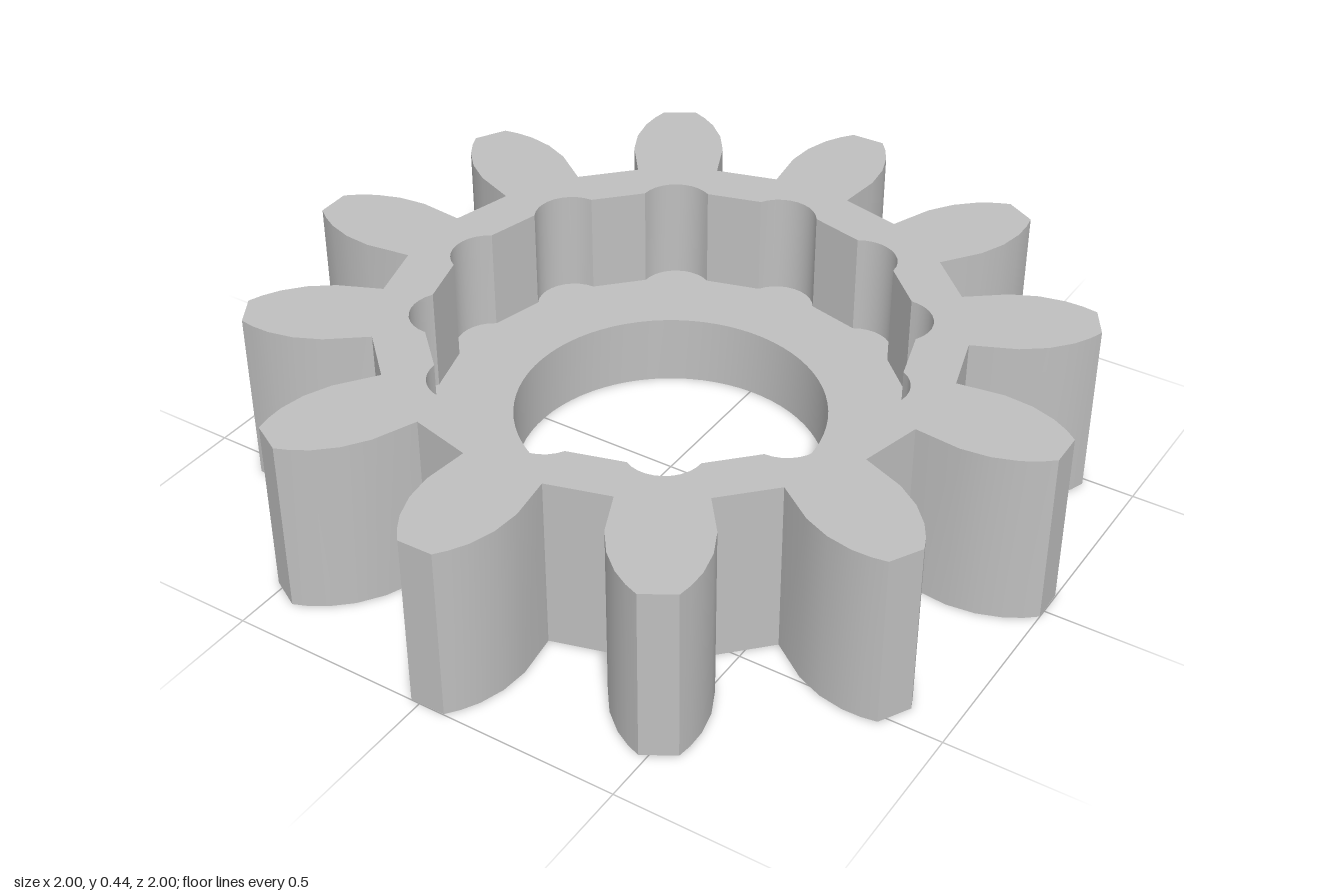
import * as THREE from 'three';
import { toCreasedNormals } from 'three/addons/utils/BufferGeometryUtils.js';

const TEETH = 12, HEIGHT = 0.44, FLOOR = 0.18, BORE = 0.378;
const TURN = THREE.MathUtils.degToRad(1.2); // slight twist of the whole gear

// Half tooth: [radius along the tooth axis, half width], root to tip
const FLANK = [[0.687, 0.102], [0.8, 0.116], [0.87, 0.109], [0.93, 0.089], [0.97, 0.066], [0.999, 0.043]];

// Repeat a list of [radial, sideways] points around the axis, counter-clockwise
function repeatAround(points) {
  const loop = [];
  for (let i = 0; i < TEETH; i++) {
    const a = TURN + (i * Math.PI * 2) / TEETH;
    for (const [r, s] of points) {
      loop.push(new THREE.Vector2(r * Math.cos(a) - s * Math.sin(a), r * Math.sin(a) + s * Math.cos(a)));
    }
  }
  return loop;
}

// Upright wall along a closed loop; a reversed loop faces inward
function wall(loop, y0, y1, inward) {
  const pts = inward ? [...loop].reverse() : loop;
  const pos = [];
  pts.forEach((a, i) => {
    const b = pts[(i + 1) % pts.length];
    const A = [a.x, y0, -a.y], B = [b.x, y0, -b.y], C = [b.x, y1, -b.y], D = [a.x, y1, -a.y];
    pos.push(...A, ...B, ...C, ...A, ...C, ...D);
  });
  const geo = new THREE.BufferGeometry();
  geo.setAttribute('position', new THREE.Float32BufferAttribute(pos, 3));
  return toCreasedNormals(geo, 0.6);
}

// Flat face between an outline and a hole, facing up or down
function face(outline, hole, y, up) {
  const k = up ? 1 : -1;
  const flip = (loop) => loop.map((p) => new THREE.Vector2(p.x, p.y * k));
  const shape = new THREE.Shape(flip(outline));
  shape.holes.push(new THREE.Path(flip(hole)));
  return new THREE.ShapeGeometry(shape).rotateX((-k * Math.PI) / 2).translate(0, y, 0);
}

export function createModel() {
  const group = new THREE.Group();
  group.name = 'gear';
  const metal = new THREE.MeshStandardMaterial({ color: 0xbfbfbf });
  metal.name = 'grey metal';

  // Toothed outline
  const teeth = repeatAround([
    ...FLANK.map(([r, w]) => [r, -w]),
    ...[...FLANK].reverse(),
  ]);

  // Pocket outline: a round lobe behind every tooth, straight runs between
  const lobe = [];
  for (let i = 0; i <= 10; i++) {
    const t = (i / 5 - 1) * 1.07;
    lobe.push([0.523 + 0.091 * Math.cos(t), 0.091 * Math.sin(t)]);
  }
  const pocket = repeatAround(lobe);

  // Round bore
  const bore = [];
  for (let i = 0; i < 72; i++) {
    const a = (i * Math.PI * 2) / 72;
    bore.push(new THREE.Vector2(BORE * Math.cos(a), BORE * Math.sin(a)));
  }

  const parts = {
    toothedWall: wall(teeth, 0, HEIGHT, false),
    pocketWall: wall(pocket, FLOOR, HEIGHT, true),
    boreWall: wall(bore, 0, FLOOR, true),
    topFace: face(teeth, pocket, HEIGHT, true),
    pocketFloor: face(pocket, bore, FLOOR, true),
    bottomFace: face(teeth, bore, 0, false),
  };
  for (const [name, geo] of Object.entries(parts)) {
    const mesh = new THREE.Mesh(geo, metal);
    mesh.name = name;
    group.add(mesh);
  }
  return group;
}
